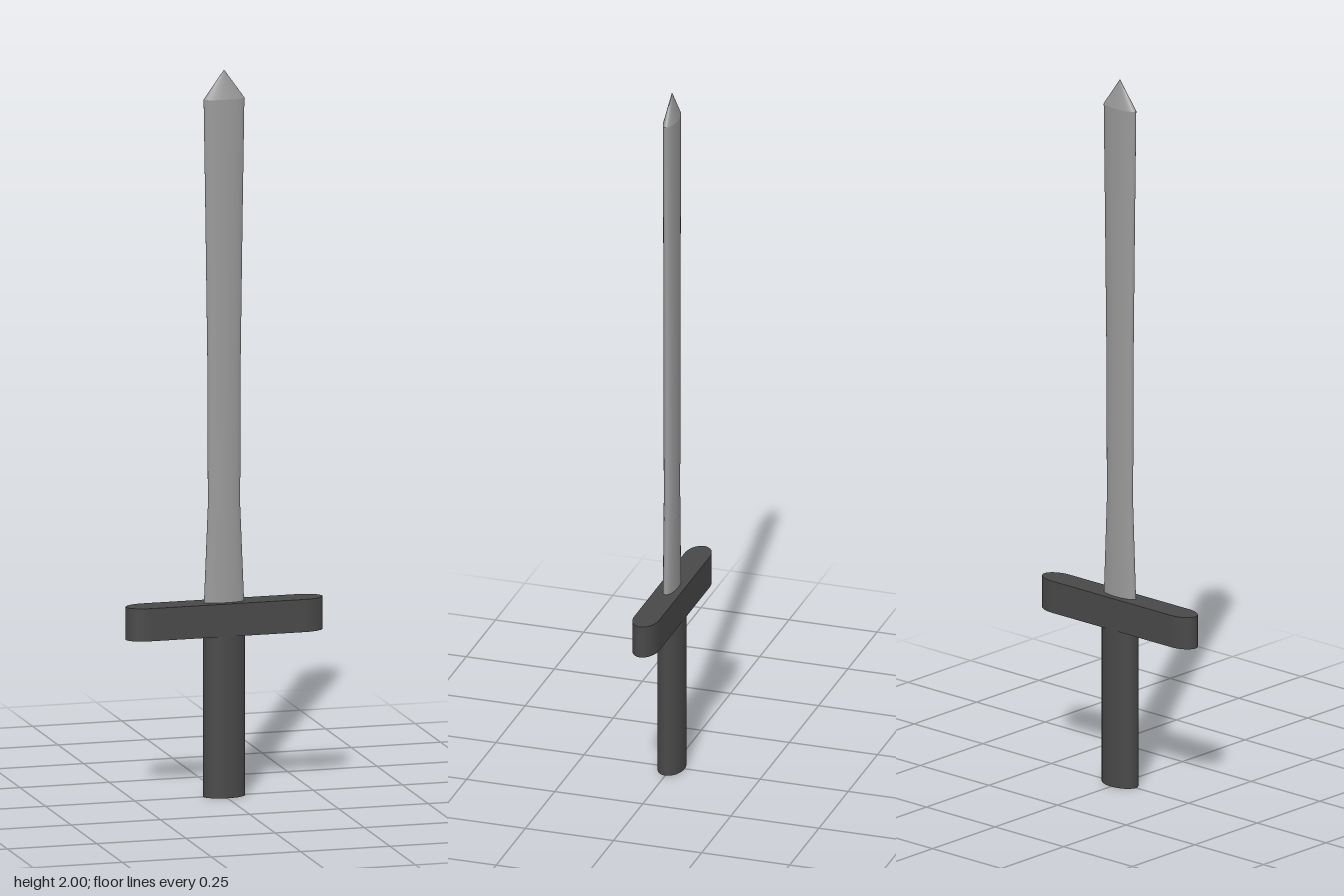
import * as THREE from 'three';
import { mergeVertices } from 'three/addons/utils/BufferGeometryUtils.js';

const SEGMENTS = 40;

export function createModel() {
  const steel = new THREE.MeshStandardMaterial({ color: 0x999999 });
  steel.name = 'steel';
  const darkMetal = new THREE.MeshStandardMaterial({ color: 0x484848 });
  darkMetal.name = 'dark metal';

  const model = new THREE.Group();
  model.name = 'sword';
  const add = (name, geometry, material, y = 0) => {
    const mesh = new THREE.Mesh(geometry, material);
    mesh.name = name;
    mesh.position.y = y;
    model.add(mesh);
  };

  // Grip: a plain oval rod
  const grip = new THREE.CylinderGeometry(1, 1, 0.445, SEGMENTS);
  grip.scale(0.058, 1, 0.036);
  add('grip', grip, darkMetal, 0.2225);

  // Crossguard: a bar with half-oval ends, extruded upwards
  const outline = new THREE.Shape();
  outline.moveTo(-0.215, -0.036);
  outline.lineTo(0.215, -0.036);
  outline.absellipse(0.215, 0, 0.06, 0.036, -Math.PI / 2, Math.PI / 2, false);
  outline.lineTo(-0.215, 0.036);
  outline.absellipse(-0.215, 0, 0.06, 0.036, Math.PI / 2, Math.PI * 1.5, false);
  const guard = new THREE.ExtrudeGeometry(outline, { depth: 0.09, bevelEnabled: false, curveSegments: 20 });
  guard.rotateX(-Math.PI / 2);
  add('crossguard', guard, darkMetal, 0.445);

  // Blade: oval section of constant thickness, waisted above the guard; [height, half width]
  const rows = [[1.92, 0.057], [1.6, 0.052], [1.2, 0.0465], [0.8, 0.045], [0.535, 0.056]];
  let blade = new THREE.CylinderGeometry(1, 1, 1, SEGMENTS, rows.length - 1, true);
  const p = blade.attributes.position;
  for (let i = 0; i < p.count; i++) {
    const [y, halfWidth] = rows[Math.floor(i / (SEGMENTS + 1))];
    p.setXYZ(i, p.getX(i) * halfWidth, y, p.getZ(i) * 0.018);
  }
  blade.deleteAttribute('uv');
  blade.deleteAttribute('normal');
  blade = mergeVertices(blade, 1e-5);
  blade.computeVertexNormals();
  add('blade', blade, steel);

  // Tip: a short oval cone
  const tip = new THREE.ConeGeometry(1, 0.08, SEGMENTS, 1, true);
  tip.scale(0.057, 1, 0.018);
  add('bladeTip', tip, steel, 1.96);

  return model;
}
